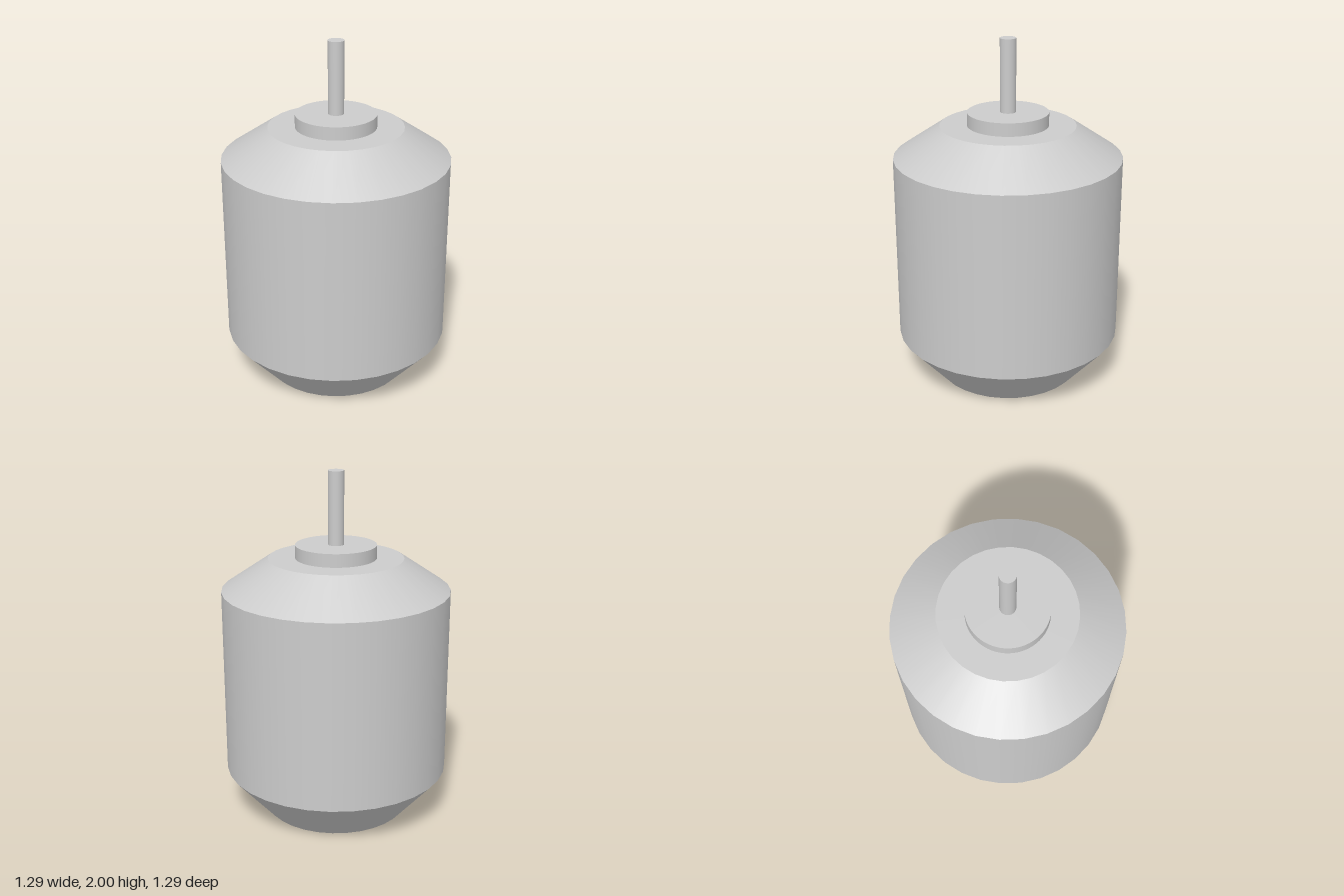
import * as THREE from 'three';

export function createModel() {
  const group = new THREE.Group();
  const material = new THREE.MeshStandardMaterial({ color: 0xcccccc });

  // A round section between two heights; open sections leave out the end caps
  function section(name, y0, y1, r0, r1, sides, open = false) {
    const geometry = new THREE.CylinderGeometry(r1, r0, y1 - y0, sides, 1, open);
    geometry.translate(0, (y0 + y1) / 2, 0);
    const mesh = new THREE.Mesh(geometry, material);
    mesh.name = name;
    group.add(mesh);
  }

  // A flat disc closing the body, facing up or down
  function disc(name, y, radius, up) {
    const geometry = new THREE.CircleGeometry(radius, 32, Math.PI / 2);
    geometry.rotateX(up ? -Math.PI / 2 : Math.PI / 2);
    geometry.translate(0, y, 0);
    const mesh = new THREE.Mesh(geometry, material);
    mesh.name = name;
    group.add(mesh);
  }

  // Closed body: tapered base, straight drum, sloping shoulder
  disc('baseDisc', 0, 0.417, false);
  section('taperedBase', 0, 0.263, 0.417, 0.647, 32, true);
  section('drum', 0.263, 1.333, 0.647, 0.647, 32, true);
  section('shoulder', 1.333, 1.512, 0.647, 0.383, 32, true);
  disc('topDisc', 1.512, 0.383, true);

  // Collar and shaft
  section('collar', 1.5, 1.587, 0.229, 0.229, 64);
  section('shaft', 1.57, 2, 0.045, 0.045, 32);

  return group;
}
